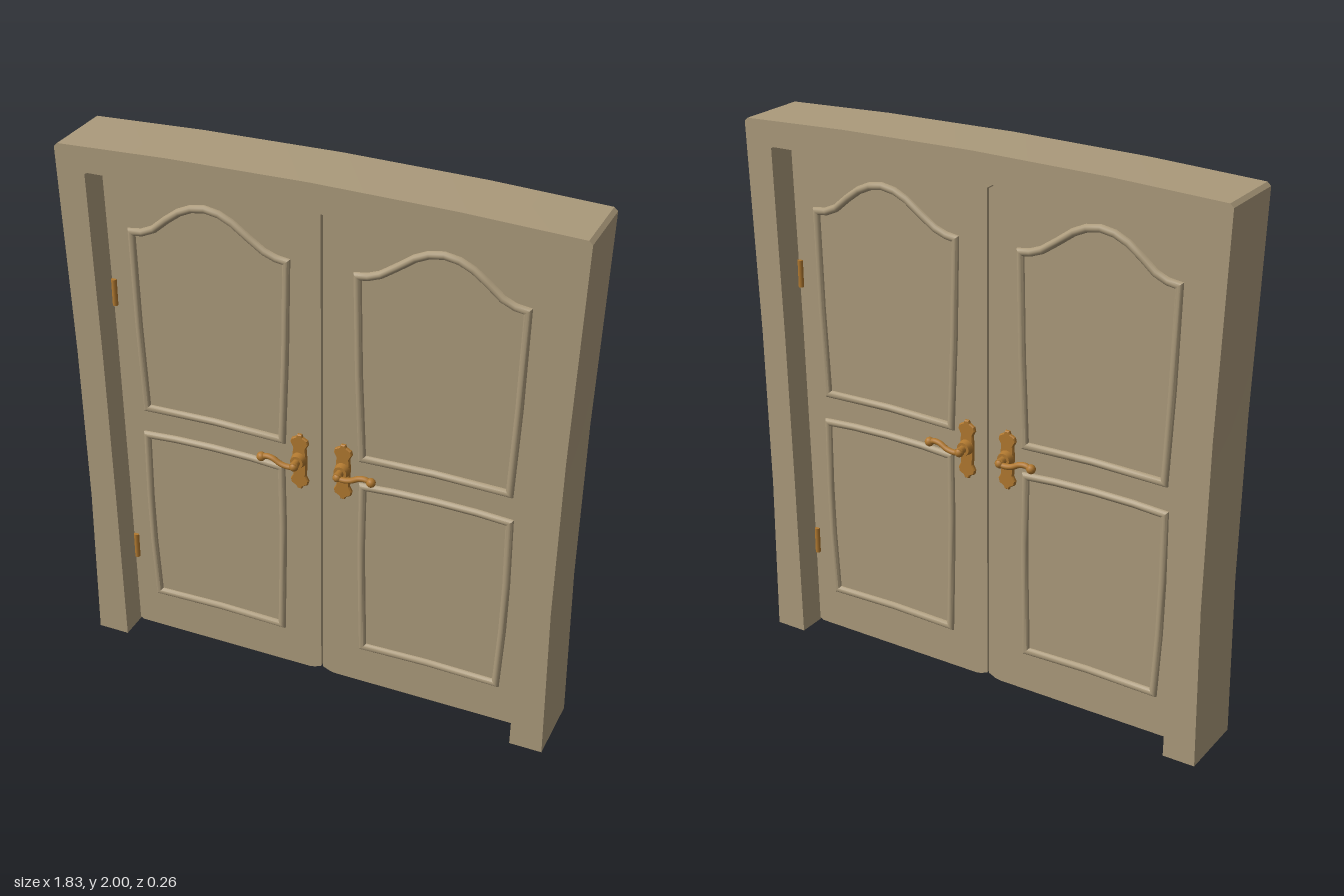
import * as THREE from 'three';
import { toCreasedNormals } from 'three/addons/utils/BufferGeometryUtils.js';

const FRAME_Z = 0.13;  // half depth of the frame
const DOOR_Z = 0.027;  // half thickness of the doors

const wood = new THREE.MeshStandardMaterial({ color: 0xab9a7b, side: THREE.DoubleSide });
wood.name = 'tan wood';
const brass = new THREE.MeshStandardMaterial({ color: 0xb0782f });
brass.name = 'brass';

function add(parent, name, geometry, material, x = 0, y = 0, z = 0) {
  const mesh = new THREE.Mesh(geometry, material);
  mesh.name = name;
  mesh.position.set(x, y, z);
  parent.add(mesh);
  return mesh;
}

// Skin a row of equal cross-sections
function loft(rings, closedPath, closedSection) {
  const m = rings[0].length, n = rings.length, index = [];
  for (let i = 0; i < (closedPath ? n : n - 1); i++) {
    for (let j = 0; j < (closedSection ? m : m - 1); j++) {
      const k = (i + 1) % n, l = (j + 1) % m;
      const a = i * m + j, b = k * m + j, c = k * m + l, d = i * m + l;
      index.push(a, d, c, a, c, b);
    }
  }
  const geometry = new THREE.BufferGeometry();
  geometry.setAttribute('position', new THREE.Float32BufferAttribute(rings.flat(2), 3));
  geometry.setIndex(index);
  return toCreasedNormals(geometry, 0.65);
}

const mirrored = (half) => [
  ...half.map(([x, y]) => [-x, y]),
  ...half.slice(0, -1).reverse(),
];

// Flared frame with a gently arched header, open under the feet
function frameGeometry() {
  const outer = mirrored([[0.887, 0], [0.88, 0.6], [0.889, 1.2], [0.915, 1.965], [0.902, 1.977], [0.5, 1.993], [0, 2]]);
  const inner = mirrored([[0.768, 0], [0.776, 0.6], [0.787, 1.2], [0.806, 1.885], [0.795, 1.89], [0.45, 1.896], [0, 1.9]]);
  const rings = outer.map((o, i) => [
    [...o, FRAME_Z], [...inner[i], FRAME_Z], [...inner[i], -FRAME_Z], [...o, -FRAME_Z],
  ]);
  return loft(rings, false, true);
}

// Door leaf with softened corners
function leafGeometry(s) {
  const outline = [
    [0.004, 0.016], [0.03, 0.004], [0.05, 0], [0.755, 0], [0.767, 0.008], [0.774, 0.6], [0.785, 1.2],
    [0.802, 1.86], [0.79, 1.874], [0.6, 1.881], [0.4, 1.885], [0.2, 1.882], [0.045, 1.876], [0.004, 1.85],
  ];
  const shape = new THREE.Shape(outline.map(([x, y]) => new THREE.Vector2(s * x, y)));
  return new THREE.ExtrudeGeometry(shape, { depth: 2 * DOOR_Z, bevelEnabled: false }).translate(0, 0, -DOOR_Z);
}

// Half-round strip mitred around a closed outline
function mouldingGeometry(outline, s) {
  const r = 0.014;
  const p = outline.map(([x, y]) => new THREE.Vector2(s * x, y));
  if (THREE.ShapeUtils.isClockWise(p)) p.reverse();
  const rings = p.map((q, i) => {
    const t0 = q.clone().sub(p[(i + p.length - 1) % p.length]).normalize();
    const t1 = p[(i + 1) % p.length].clone().sub(q).normalize();
    const n0 = new THREE.Vector2(t0.y, -t0.x), n1 = new THREE.Vector2(t1.y, -t1.x);
    const miter = n0.clone().add(n1).divideScalar(1 + n0.dot(n1));
    return Array.from({ length: 7 }, (_, j) => {
      const a = Math.PI * (1 - j / 6), u = r * Math.cos(a) - r;
      return [q.x + miter.x * u, q.y + miter.y * u, DOOR_Z + r * Math.sin(a)];
    });
  });
  return loft(rings, true, false);
}

const upperPanel = [
  [0.137, 0.955], [0.41, 0.962], [0.693, 0.955], [0.708, 1.3], [0.716, 1.665], [0.665, 1.672], [0.625, 1.69],
  [0.575, 1.733], [0.525, 1.77], [0.475, 1.793], [0.42, 1.802], [0.365, 1.793], [0.315, 1.77],
  [0.255, 1.727], [0.2, 1.69], [0.16, 1.675], [0.112, 1.668], [0.121, 1.3],
];
const lowerPanel = [
  [0.148, 0.15], [0.41, 0.156], [0.685, 0.15], [0.698, 0.4], [0.702, 0.6], [0.7, 0.868],
  [0.57, 0.877], [0.42, 0.88], [0.27, 0.877], [0.14, 0.868], [0.137, 0.6], [0.141, 0.4],
];

// Lever handle on a shaped back plate; s points the lever outwards
function handle(s) {
  const g = new THREE.Group();
  g.name = 'handle';
  const quarter = [[0.026, 0.03], [0.024, 0.055], [0.034, 0.074], [0.03, 0.09], [0.012, 0.1], [0.008, 0.11]];
  const side = [...quarter.map(([x, y]) => [x, -y]).reverse(), ...quarter];
  const plate = new THREE.Shape([
    ...side.map(([x, y]) => new THREE.Vector2(x, y)),
    ...side.map(([x, y]) => new THREE.Vector2(-x, -y)),
  ]);
  add(g, 'backPlate', new THREE.ExtrudeGeometry(plate, {
    depth: 0.008, bevelThickness: 0.004, bevelSize: 0.003, bevelOffset: -0.003, bevelSegments: 1,
  }), brass);
  add(g, 'boss', new THREE.CylinderGeometry(0.024, 0.029, 0.025, 16).rotateX(Math.PI / 2), brass, 0, 0.01, 0.022);
  add(g, 'spindle', new THREE.CylinderGeometry(0.014, 0.014, 0.04, 12).rotateX(Math.PI / 2), brass, 0, 0.01, 0.045);
  const path = [
    [-0.012, 0.008, 0.056], [0.02, 0.003, 0.058], [0.05, 0.008, 0.058], [0.08, 0.022, 0.056],
    [0.105, 0.024, 0.055], [0.122, 0.016, 0.055],
  ].map(([x, y, z]) => new THREE.Vector3(s * x, y, z));
  add(g, 'lever', new THREE.TubeGeometry(new THREE.CatmullRomCurve3(path), 24, 0.0105, 10), brass);
  add(g, 'leverRoot', new THREE.SphereGeometry(0.017, 12, 8), brass, 0, 0.007, 0.056);
  add(g, 'leverTip', new THREE.SphereGeometry(0.017, 12, 8), brass, s * 0.124, 0.017, 0.055);
  return g;
}

// Everything fixed to one side of the doors
function doorFace() {
  const g = new THREE.Group();
  for (const s of [-1, 1]) {
    add(g, 'upperMoulding', mouldingGeometry(upperPanel, s), wood);
    add(g, 'lowerMoulding', mouldingGeometry(lowerPanel, s), wood);
    const h = handle(s);
    h.position.set(s * 0.082, 0.9, DOOR_Z);
    g.add(h);
  }
  for (const [x, y] of [[-0.782, 1.41], [-0.76, 0.35]]) {
    add(g, 'hinge', new THREE.CylinderGeometry(0.01, 0.01, 0.1, 10), brass, x, y, DOOR_Z + 0.004);
  }
  return g;
}

export function createModel() {
  const model = new THREE.Group();
  model.name = 'doubleDoor';
  add(model, 'frame', frameGeometry(), wood);
  add(model, 'rightDoor', leafGeometry(-1), wood);
  add(model, 'leftDoor', leafGeometry(1), wood);

  const front = doorFace();
  front.name = 'frontFittings';
  const back = doorFace();
  back.name = 'backFittings';
  back.rotation.y = Math.PI;
  model.add(front, back);
  return model;
}
